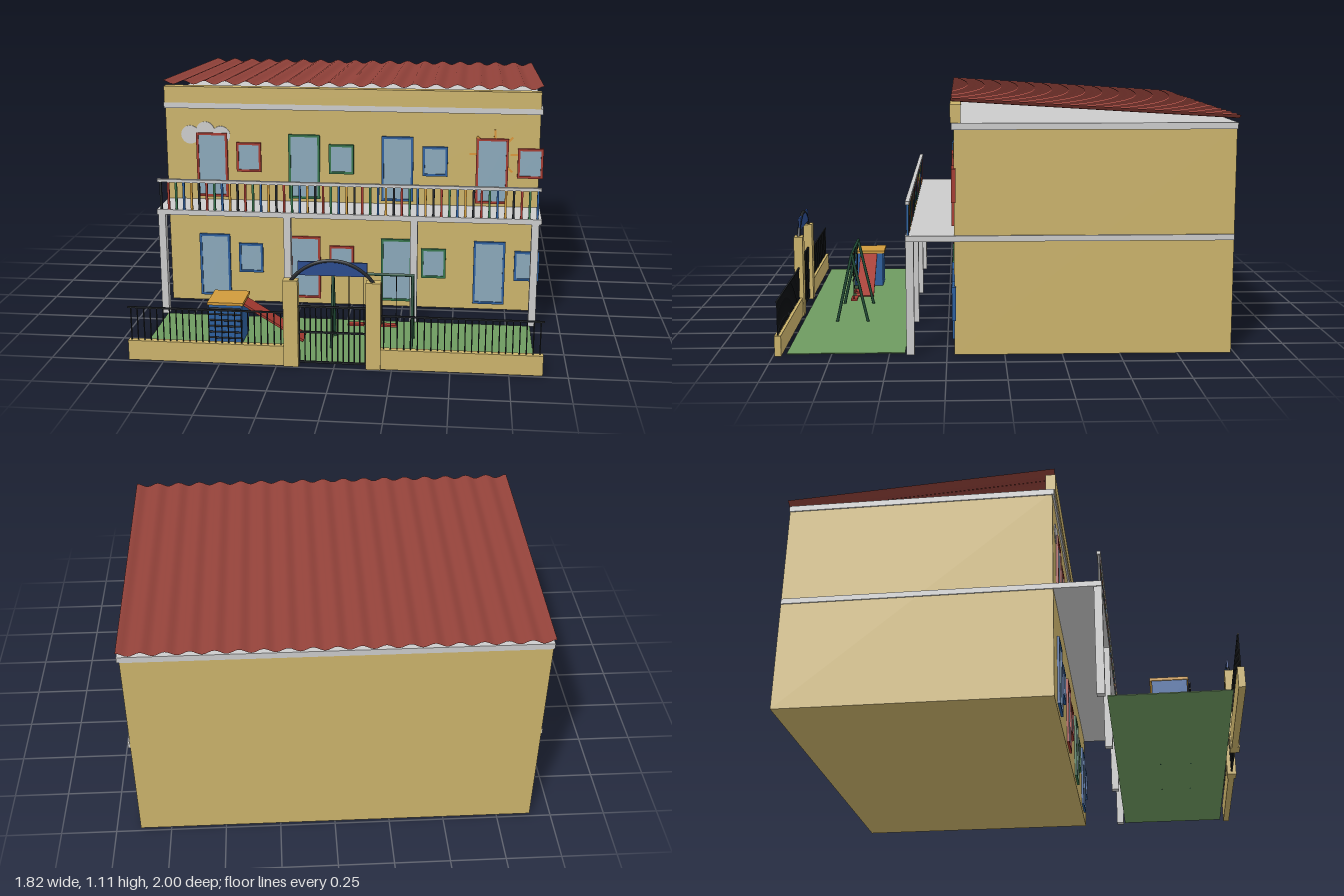
import * as THREE from 'three';

const mat = (color) => new THREE.MeshStandardMaterial({ color });
const M = {
  wall: mat(0xcbb36b), grey: mat(0xcccccc), roof: mat(0x93423a), lawn: mat(0x6e9a60),
  red: mat(0xa53a30), green: mat(0x35754c), blue: mat(0x2c5f9e), glass: mat(0x8aa8ba),
  iron: mat(0x22262a), frame: mat(0x1f4a35), orange: mat(0xd9963a), wood: mat(0xcf9a3c),
  navy: mat(0x2a4a8c),
};
M.roof.side = THREE.DoubleSide;

export function createModel() {
  const root = new THREE.Group();

  const add = (parent, name, geo, material) => {
    const mesh = new THREE.Mesh(geo, material);
    mesh.name = name;
    parent.add(mesh);
    return mesh;
  };
  // Box from its lower and upper limits on each axis
  const box = (parent, name, material, x0, x1, y0, y1, z0, z1) => {
    const m = add(parent, name, new THREE.BoxGeometry(x1 - x0, y1 - y0, z1 - z0), material);
    m.position.set((x0 + x1) / 2, (y0 + y1) / 2, (z0 + z1) / 2);
    return m;
  };
  // Round bar between two points
  const bar = (parent, name, material, a, b, r, sides = 8) => {
    const p = new THREE.Vector3(...a), q = new THREE.Vector3(...b);
    const m = add(parent, name, new THREE.CylinderGeometry(r, r, p.distanceTo(q), sides), material);
    m.position.copy(p).lerp(q, 0.5);
    m.quaternion.setFromUnitVectors(new THREE.Vector3(0, 1, 0), q.sub(p).normalize());
    return m;
  };
  const group = (name) => {
    const g = new THREE.Group();
    g.name = name;
    root.add(g);
    return g;
  };

  // Main block, floor slabs and parapet
  const building = group('building');
  box(building, 'walls', M.wall, -0.905, 0.89, 0, 0.99, -0.985, 0.217);
  box(building, 'balconySlab', M.grey, -0.91, 0.9, 0.499, 0.524, -0.984, 0.425);
  box(building, 'cornice', M.grey, -0.91, 0.9, 0.976, 1.004, -0.987, 0.226);
  box(building, 'parapet', M.wall, -0.905, 0.89, 1.004, 1.083, 0.187, 0.232);

  // Corrugated roof sheet sloping down to the back
  const roofGeo = new THREE.PlaneGeometry(1.81, 1.228, 18 * 8, 1).rotateX(-Math.PI / 2);
  const rp = roofGeo.attributes.position;
  for (let i = 0; i < rp.count; i++) {
    const x = rp.getX(i), z = rp.getZ(i) - 0.386;
    const slope = 1.102 + (z - 0.228) * 0.061;
    rp.setXYZ(i, x - 0.005, slope + 0.009 * Math.cos((x / 1.81) * 18 * 2 * Math.PI), z);
  }
  roofGeo.computeVertexNormals();
  add(building, 'roof', roofGeo, M.roof);

  // Framed doors and windows on two floors
  const opening = (name, material, cx, w, y0, y1) => {
    const g = group(name), t = 0.011, x0 = cx - w / 2, x1 = cx + w / 2;
    box(g, 'glass', M.glass, x0 + t, x1 - t, y0 + t, y1 - t, 0.21, 0.222);
    for (const [a, b] of [[x0, x0 + t], [x1 - t, x1]])
      box(g, 'frameSide', material, a, b, y0, y1, 0.21, 0.228);
    for (const [a, b] of [[y0, y0 + t], [y1 - t, y1]])
      box(g, 'frameRail', material, x0 + t, x1 - t, a, b, 0.21, 0.228);
  };
  const upper = [M.red, M.green, M.blue, M.red];
  const lower = [M.blue, M.red, M.green, M.blue];
  for (let i = 0; i < 4; i++) {
    const x = -0.681 + 0.45 * i;
    opening('upperDoor', upper[i], x, 0.152, 0.54, 0.857);
    opening('upperWindow', upper[i], x + 0.18, 0.12, 0.668, 0.812);
    opening('lowerDoor', lower[i], x, 0.152, 0.03, 0.347);
    opening('lowerWindow', lower[i], x + 0.18, 0.12, 0.155, 0.303);
  }

  // Cloud and sun wall decorations
  const decor = group('wallDecor');
  const disc = (name, material, x, y, r) => {
    const m = add(decor, name, new THREE.CylinderGeometry(r, r, 0.006, 32).rotateX(Math.PI / 2), material);
    m.position.set(x, y, 0.218);
  };
  for (const [x, y] of [[-0.786, 0.846], [-0.712, 0.866], [-0.636, 0.845]])
    disc('cloudPuff', M.grey, x, y, 0.045);
  disc('sunDisc', M.orange, 0.68, 0.78, 0.06);
  for (let i = 0; i < 8; i++) {
    const a = (i * Math.PI) / 4;
    const ray = add(decor, 'sunRay', new THREE.BoxGeometry(0.045, 0.01, 0.006), M.orange);
    ray.position.set(0.68 + 0.097 * Math.cos(a), 0.78 + 0.097 * Math.sin(a), 0.218);
    ray.rotation.z = a;
  }

  // Balcony columns and coloured railing
  const balcony = group('balcony');
  for (const x of [-0.888, -0.287, 0.312, 0.872])
    box(balcony, 'column', M.grey, x - 0.017, x + 0.017, 0, 0.5, 0.39, 0.425);
  box(balcony, 'handrail', M.grey, -0.905, 0.895, 0.658, 0.672, 0.406, 0.424);
  const cycle = [M.iron, M.red, M.green, M.blue, M.wood];
  for (let i = 0; i < 49; i++) {
    const x = -0.89 + (1.77 * i) / 48;
    box(balcony, 'baluster', cycle[i % 5], x - 0.005, x + 0.005, 0.524, 0.658, 0.41, 0.42);
  }

  // Front yard
  box(group('yard'), 'lawn', M.lawn, -0.875, 0.863, 0, 0.004, 0.432, 0.944);

  // Street wall with iron railings
  const fence = group('fence');
  for (const [x0, x1] of [[-0.905, -0.217], [0.2, 0.893]]) {
    box(fence, 'lowWall', M.wall, x0, x1, 0, 0.09, 0.963, 0.992);
    box(fence, 'topRail', M.iron, x0, x1, 0.236, 0.243, 0.974, 0.981);
    const n = 24;
    for (let i = 0; i < n; i++) {
      const x = x0 + ((x1 - x0) * (i + 0.5)) / n;
      bar(fence, 'railingBar', M.iron, [x, 0.09, 0.978], [x, 0.24, 0.978], 0.0028, 6);
    }
  }

  // Gate with pillars, arch and sign board
  const gate = group('gate');
  for (const x of [-0.185, 0.17])
    box(gate, 'pillar', M.wall, x - 0.032, x + 0.032, 0, 0.392, 0.957, 1);
  for (const y of [0.017, 0.155, 0.272])
    box(gate, 'gateRail', M.iron, -0.153, 0.138, y - 0.004, y + 0.004, 0.974, 0.982);
  for (let i = 0; i <= 12; i++) {
    const x = -0.15 + (0.285 * i) / 12;
    bar(gate, 'gateBar', M.iron, [x, 0.012, 0.978], [x, 0.272, 0.978], 0.003, 6);
  }
  const R = 0.213, half = Math.asin(0.1775 / R), arc = [];
  for (let i = 0; i <= 16; i++) {
    const a = half * (i / 8 - 1);
    arc.push(new THREE.Vector3(-0.007 + R * Math.sin(a), 0.268 + R * Math.cos(a), 0.98));
  }
  add(gate, 'arch', new THREE.TubeGeometry(new THREE.CatmullRomCurve3(arc), 32, 0.008, 8), M.iron);
  box(gate, 'board', M.navy, -0.153, 0.143, 0.414, 0.475, 0.974, 0.983);

  // Play tower with ladder and slide
  const tower = group('slideTower');
  box(tower, 'towerBody', M.blue, -0.595, -0.442, 0.001, 0.183, 0.615, 0.768);
  box(tower, 'platform', M.wood, -0.6, -0.436, 0.183, 0.196, 0.606, 0.774);
  for (let i = 0; i < 6; i++) {
    const y = 0.03 + 0.028 * i;
    bar(tower, 'ladderRung', M.iron, [-0.59, y, 0.779], [-0.446, y, 0.779], 0.004);
  }
  const dx = 0.275, dy = -0.168;
  const slide = add(tower, 'slide', new THREE.BoxGeometry(Math.hypot(dx, dy), 0.01, 0.09), M.red);
  slide.position.set(-0.445 + dx / 2, 0.178 + dy / 2, 0.69);
  slide.rotation.z = Math.atan2(dy, dx);

  // Swing set
  const swing = group('swing');
  for (const x of [-0.035, 0.323])
    for (const z of [0.635, 0.783])
      bar(swing, 'leg', M.frame, [x, 0, z], [x, 0.333, 0.709], 0.007);
  bar(swing, 'topBar', M.frame, [-0.042, 0.333, 0.709], [0.33, 0.333, 0.709], 0.007);
  for (const x of [0.069, 0.218]) {
    box(swing, 'seat', M.red, x - 0.037, x + 0.037, 0.088, 0.097, 0.692, 0.722);
    for (const s of [-0.032, 0.032])
      bar(swing, 'chain', M.iron, [x + s, 0.092, 0.708], [x + s, 0.333, 0.708], 0.002, 6);
  }

  return root;
}
